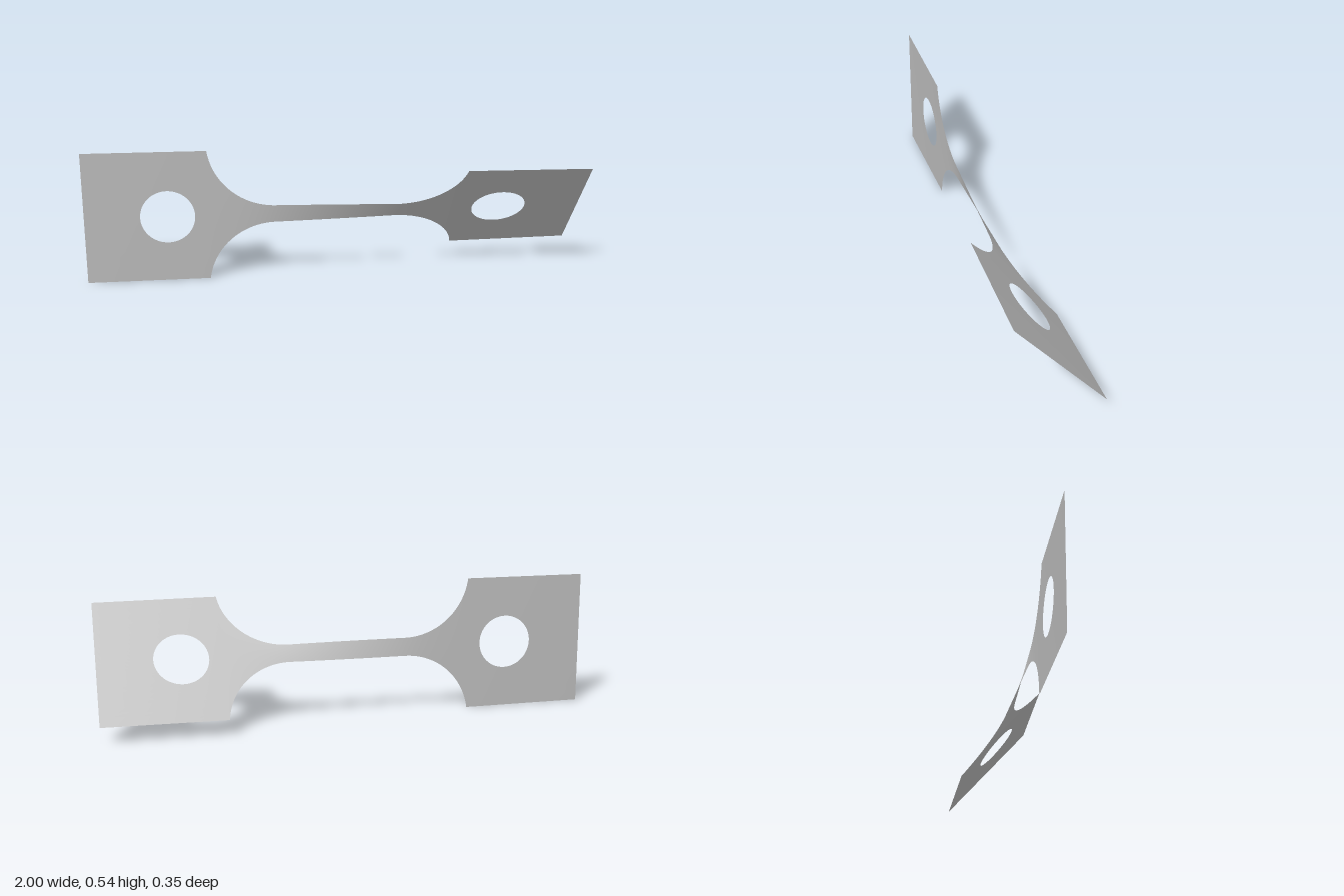
import * as THREE from 'three';

const HALF_H = 0.2715;      // half height of the end tabs
const GAUGE = 0.037;        // half height of the narrow neck
const R = 0.27;             // fillet radius
const FILLET_X = 0.24;      // where the fillets start
const TAB_X = FILLET_X + Math.sqrt(R * R - (GAUGE + R - HALF_H) ** 2);
const HOLE_X = 0.67, HOLE_R = 0.109;
const TWIST = THREE.MathUtils.degToRad(40.8);

// Half height of the strip at a given x
function halfHeight(x) {
  const a = Math.abs(x);
  if (a <= FILLET_X) return GAUGE;
  if (a >= TAB_X) return HALF_H;
  return GAUGE + R - Math.sqrt(R * R - (a - FILLET_X) ** 2);
}

// Accumulated twist: the narrower the section, the faster it turns
const N = 800;
const turn = [0];
for (let i = 0; i < N; i++) {
  turn.push(turn[i] + halfHeight(-1 + (2 * (i + 0.5)) / N) ** -1.5);
}
function angleAt(x) {
  const f = THREE.MathUtils.clamp((x + 1) / 2, 0, 1) * N;
  const i = Math.min(Math.floor(f), N - 1);
  return (TWIST * THREE.MathUtils.lerp(turn[i], turn[i + 1], f - i)) / turn[N];
}

// Grid surface from a flat (x, y) rule, twisted about the long axis
function twistedSheet(nu, nv, point) {
  const pos = [], index = [];
  for (let i = 0; i <= nu; i++) {
    for (let j = 0; j <= nv; j++) {
      const [x, y] = point(i, j);
      const a = angleAt(x);
      pos.push(x, HALF_H + y * Math.cos(a), y * Math.sin(a));
      if (i < nu && j < nv) {
        const p = i * (nv + 1) + j, q = p + nv + 1;
        index.push(p, q, q + 1, p, q + 1, p + 1);
      }
    }
  }
  const g = new THREE.BufferGeometry();
  g.setAttribute('position', new THREE.Float32BufferAttribute(pos, 3));
  g.setIndex(index);
  g.computeVertexNormals();
  return g;
}

// Rectangular tab with a round hole, as rings from the hole to the outline
function tabGeometry(side) {
  const outer = 1 - HOLE_X, inner = HOLE_X - TAB_X;
  const angles = [];
  for (let i = 0; i < 72; i++) angles.push((i / 72) * Math.PI * 2);
  for (const dx of [outer, -inner]) {
    for (const dy of [HALF_H, -HALF_H]) {
      angles.push((Math.atan2(dy, dx) + Math.PI * 2) % (Math.PI * 2));
    }
  }
  angles.sort((a, b) => a - b);
  angles.push(Math.PI * 2);
  const rings = 10, last = angles.length - 1;
  return twistedSheet(rings, last, (i, j) => {
    const a = angles[side > 0 ? j : last - j];
    const c = Math.cos(a), s = Math.sin(a);
    const reach = Math.min((c > 0 ? outer : inner) / Math.max(Math.abs(c), 1e-9),
      HALF_H / Math.max(Math.abs(s), 1e-9));
    const r = THREE.MathUtils.lerp(HOLE_R, reach, i / rings);
    return [side * (HOLE_X + r * c), r * s];
  });
}

export function createModel() {
  const group = new THREE.Group();
  group.name = 'twistedTestStrip';
  const metal = new THREE.MeshStandardMaterial({ color: 0xbcbcbc, side: THREE.DoubleSide });
  metal.name = 'lightGrey';

  const add = (name, geometry) => {
    const mesh = new THREE.Mesh(geometry, metal);
    mesh.name = name;
    group.add(mesh);
  };

  // Neck with its flared fillets, columns bunched toward the steep ends
  const cols = 120, rows = 12;
  add('neck', twistedSheet(cols, rows, (i, j) => {
    const x = TAB_X * Math.sin((i / cols - 0.5) * Math.PI);
    return [x, halfHeight(x) * ((2 * j) / rows - 1)];
  }));

  // End tabs
  add('leftTab', tabGeometry(1));
  add('rightTab', tabGeometry(-1));
  return group;
}
